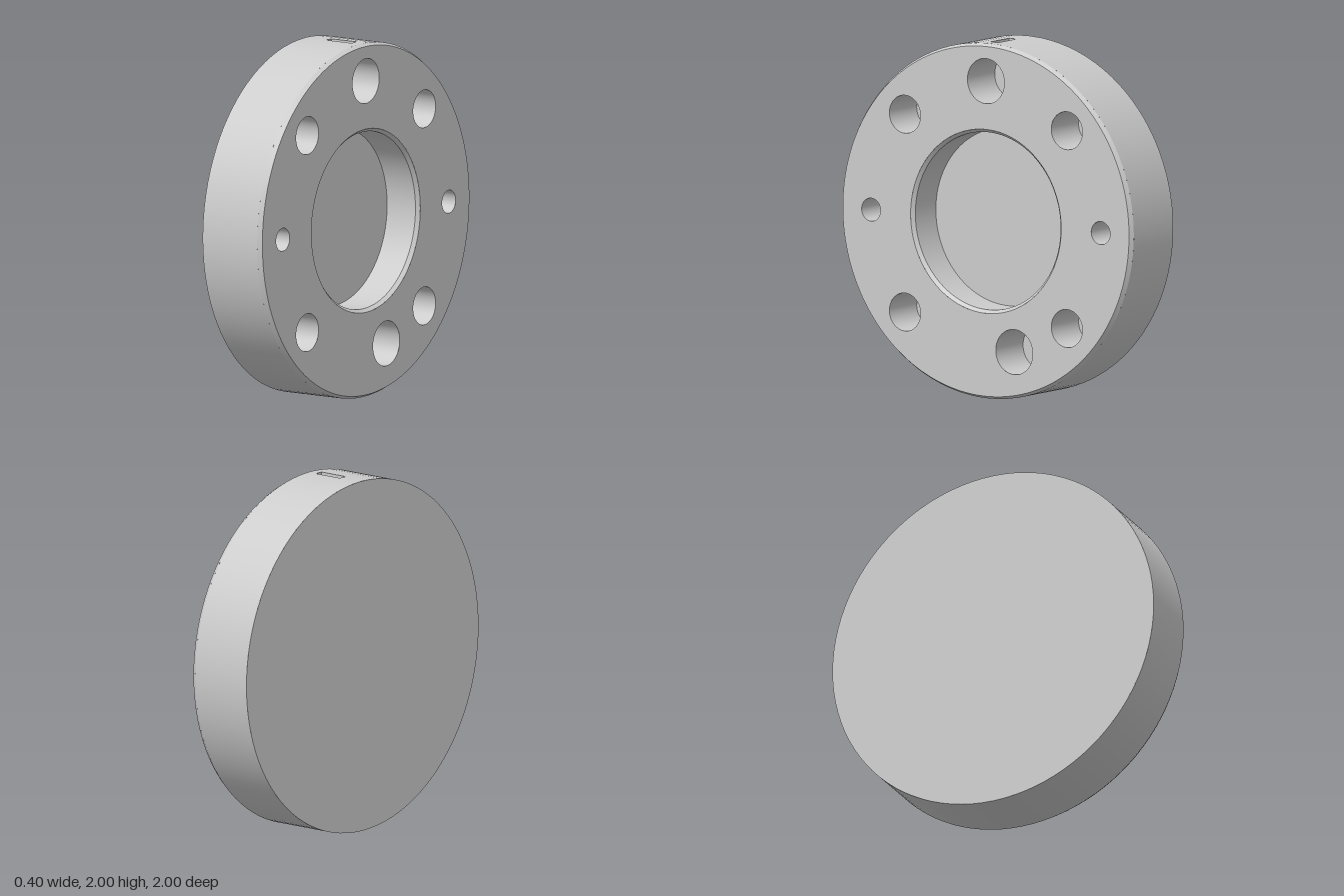
import * as THREE from 'three';

const SEG = 96;
const BACK = -0.2, FRONT = 0.2, BEVEL = 0.175;   // stations along x
const FACE_R = 0.985, BORE_R = 0.5, BORE_LIP = 0.518, BORE_FLOOR = -0.015;
const SLOT = { x0: -0.055, x1: 0.12, half: 0.025, depth: 0.03 };

export function createModel() {
  const model = new THREE.Group();
  model.name = 'flange';
  const metal = new THREE.MeshStandardMaterial({ color: 0xcccccc });
  metal.name = 'grey metal';

  const add = (name, geometry, y = 1, z = 0) => {
    const mesh = new THREE.Mesh(geometry, metal);
    mesh.name = name;
    mesh.position.set(0, y, z);
    model.add(mesh);
    return mesh;
  };
  // One band of revolution about x, between two [radius, x] points
  const band = (a, b, start = 0, length = Math.PI * 2, seg = SEG) =>
    new THREE.LatheGeometry([new THREE.Vector2(...a), new THREE.Vector2(...b)], seg, start, length)
      .rotateZ(-Math.PI / 2);
  // A chain of sharp-edged bands
  const turned = (name, points, y, z) => {
    for (let i = 1; i < points.length; i++) add(name, band(points[i - 1], points[i]), y, z);
  };

  // Outer rim, interrupted at the top for the slot
  const top = Math.PI * 1.5, h = SLOT.half;
  add('rim', band([1, BACK], [1, BEVEL], top + h, Math.PI * 2 - 2 * h));
  add('rimBehindSlot', band([1, BACK], [1, SLOT.x0], top - h, 2 * h, 2));
  add('rimBeforeSlot', band([1, SLOT.x1], [1, BEVEL], top - h, 2 * h, 2));
  add('rimBevel', band([1, BEVEL], [FACE_R, FRONT]));
  add('backFace', band([0, BACK], [1, BACK]));

  // Slot recess: a box turned inside out
  const slot = new THREE.BoxGeometry(SLOT.x1 - SLOT.x0, SLOT.depth, 2 * h).scale(-1, 1, 1);
  slot.computeVertexNormals();
  add('slot', slot, 2 - SLOT.depth / 2).position.x = (SLOT.x0 + SLOT.x1) / 2;

  // Blind holes: offsets from the centre, radius, floor station
  const d = 0.557;
  const holes = [
    { name: 'topHole', y: 0.79, z: 0, r: 0.127, floor: -0.06 },
    { name: 'counterboredHole', y: -0.72, z: -0.195, r: 0.127, floor: -0.06, pilot: 0.065 },
  ];
  for (const s of [-1, 1]) {
    holes.push({ name: 'pinHole', y: 0, z: s * 0.79, r: 0.065, floor: -0.02 });
    for (const t of [-1, 1]) holes.push({ name: 'boltHole', y: t * d, z: s * d, r: 0.107, floor: -0.06 });
  }

  // Front face, pierced by the bore and holes
  const face = new THREE.Shape().absarc(0, 0, FACE_R, 0, Math.PI * 2);
  const pierce = (x, y, r) => face.holes.push(new THREE.Path().absarc(x, y, r, 0, Math.PI * 2, true));
  pierce(0, 0, BORE_LIP);
  for (const o of holes) pierce(-o.z, o.y, o.r);
  add('frontFace', new THREE.ShapeGeometry(face, SEG).rotateY(Math.PI / 2).translate(FRONT, 0, 0));

  // Central bore with a bevelled lip
  turned('bore', [[BORE_LIP, FRONT], [BORE_R, FRONT - 0.02], [BORE_R, BORE_FLOOR], [0, BORE_FLOOR]]);

  // Hole walls and floors
  for (const o of holes) {
    const profile = [[o.r, FRONT], [o.r, o.floor]];
    if (o.pilot) profile.push([o.pilot, o.floor], [o.pilot, o.floor - 0.08], [0, o.floor - 0.08]);
    else profile.push([0, o.floor]);
    turned(o.name, profile, 1 + o.y, o.z);
  }
  return model;
}
